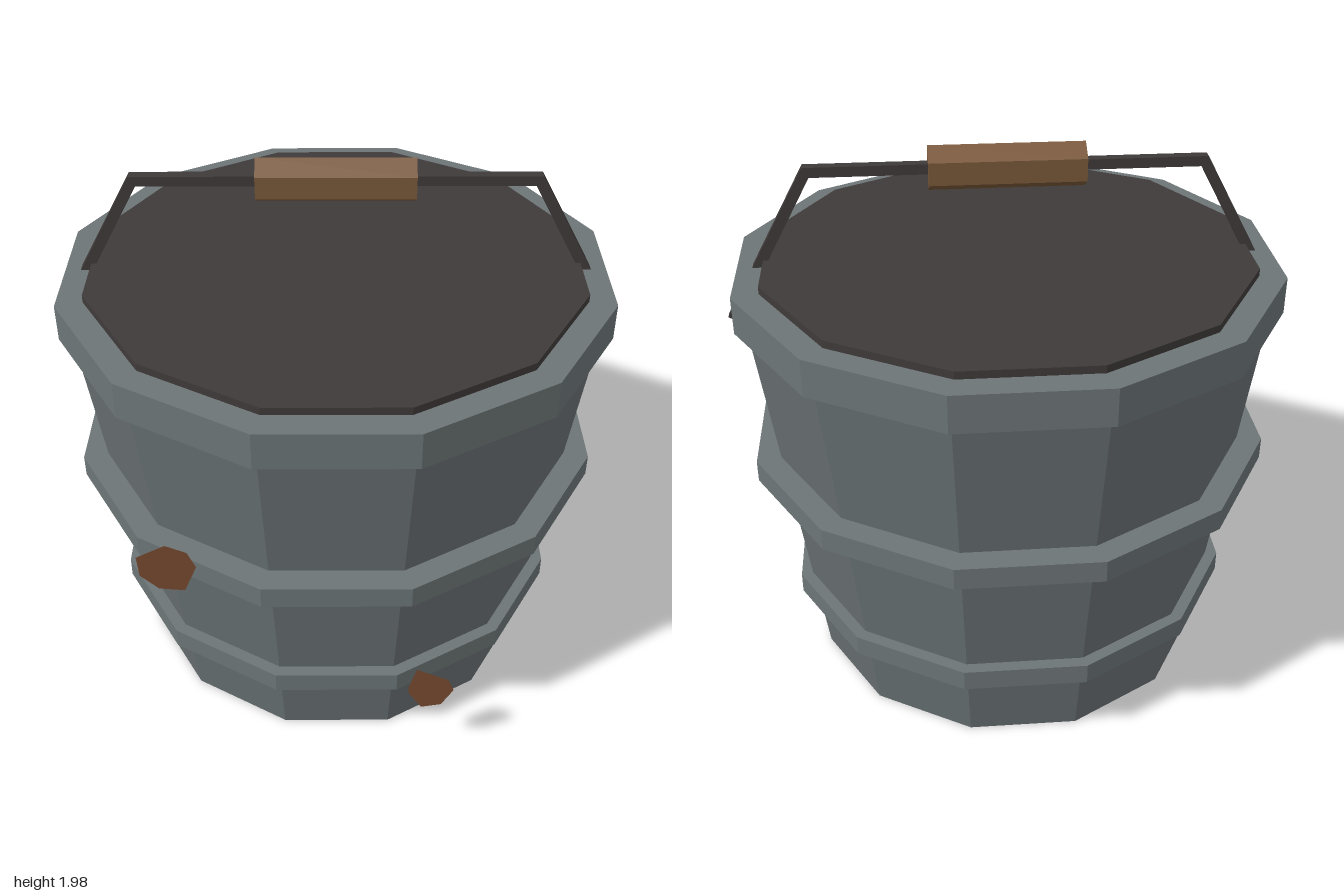
import * as THREE from 'three';

const SIDES = 12;

function makeMaterial(name, color, side = THREE.FrontSide) {
  const m = new THREE.MeshStandardMaterial({ color, flatShading: true, side });
  m.name = name;
  return m;
}

export function createModel() {
  const group = new THREE.Group();
  group.name = 'bucket';

  const staveGrey = makeMaterial('staveGrey', 0x697173);
  const bandGrey = makeMaterial('bandGrey', 0x6d7577);
  const darkMetal = makeMaterial('darkMetal', 0x403a3a);
  const gripWood = makeMaterial('gripWood', 0x7a5839);
  const rust = makeMaterial('rust', 0x784a30, THREE.DoubleSide);

  const add = (name, geometry, material) => {
    const mesh = new THREE.Mesh(geometry, material);
    mesh.name = name;
    group.add(mesh);
    return mesh;
  };

  // Twelve-sided drum with flats facing the axes; widths measured across flats
  const drum = (name, bottomHalf, topHalf, y0, y1, material) => {
    const k = 1 / Math.cos(Math.PI / SIDES);
    const g = new THREE.CylinderGeometry(topHalf * k, bottomHalf * k, y1 - y0, SIDES, 1, false, Math.PI / SIDES);
    g.translate(0, (y0 + y1) / 2, 0);
    return add(name, g, material);
  };

  drum('body', 0.722, 0.917, 0, 1.51, staveGrey);
  drum('lowerBand', 0.81, 0.81, 0.275, 0.352, bandGrey);
  drum('middleBand', 0.925, 0.925, 0.82, 0.9, bandGrey);
  drum('rim', 0.948, 0.948, 1.427, 1.56, bandGrey);
  drum('lid', 0.855, 0.855, 1.55, 1.587, darkMetal);

  // Bent square bar: one half of the outline, mirrored across x
  const outer = [[0.998, 1.371], [0.696, 1.921]];
  const inner = [[0.674, 1.885], [0.964, 1.353]];
  const mirror = (pts) => pts.map(([x, y]) => [-x, y]).reverse();
  const outline = [...outer, ...mirror(outer), ...mirror(inner), ...inner.slice(0, 2)];
  const bar = new THREE.ExtrudeGeometry(
    new THREE.Shape(outline.map(([x, y]) => new THREE.Vector2(x, y))),
    { depth: 0.037, bevelEnabled: false }
  );
  bar.translate(0, 0, -0.0185);
  add('handleBar', bar, darkMetal);

  // Six-sided wooden grip with one edge pointing up
  const grip = new THREE.CylinderGeometry(0.08, 0.08, 0.54, 6, 1, false, Math.PI / 2);
  grip.rotateZ(Math.PI / 2);
  grip.translate(0, 1.902, 0);
  add('handleGrip', grip, gripWood);

  // Flat irregular rust flakes standing off the front
  const flake = (name, pts) => {
    const g = new THREE.ShapeGeometry(new THREE.Shape(pts.map(([x, y]) => new THREE.Vector2(x, y))));
    g.translate(0, 0, 0.875);
    add(name, g, rust);
  };
  flake('upperRustFlake', [
    [-0.65, 0.995], [-0.553, 1.047], [-0.484, 1.016], [-0.457, 0.952],
    [-0.5, 0.847], [-0.585, 0.856], [-0.644, 0.914]
  ]);
  flake('lowerRustFlake', [
    [0.281, 0.455], [0.393, 0.401], [0.414, 0.348], [0.372, 0.273],
    [0.302, 0.259], [0.256, 0.332], [0.254, 0.364]
  ]);

  return group;
}
